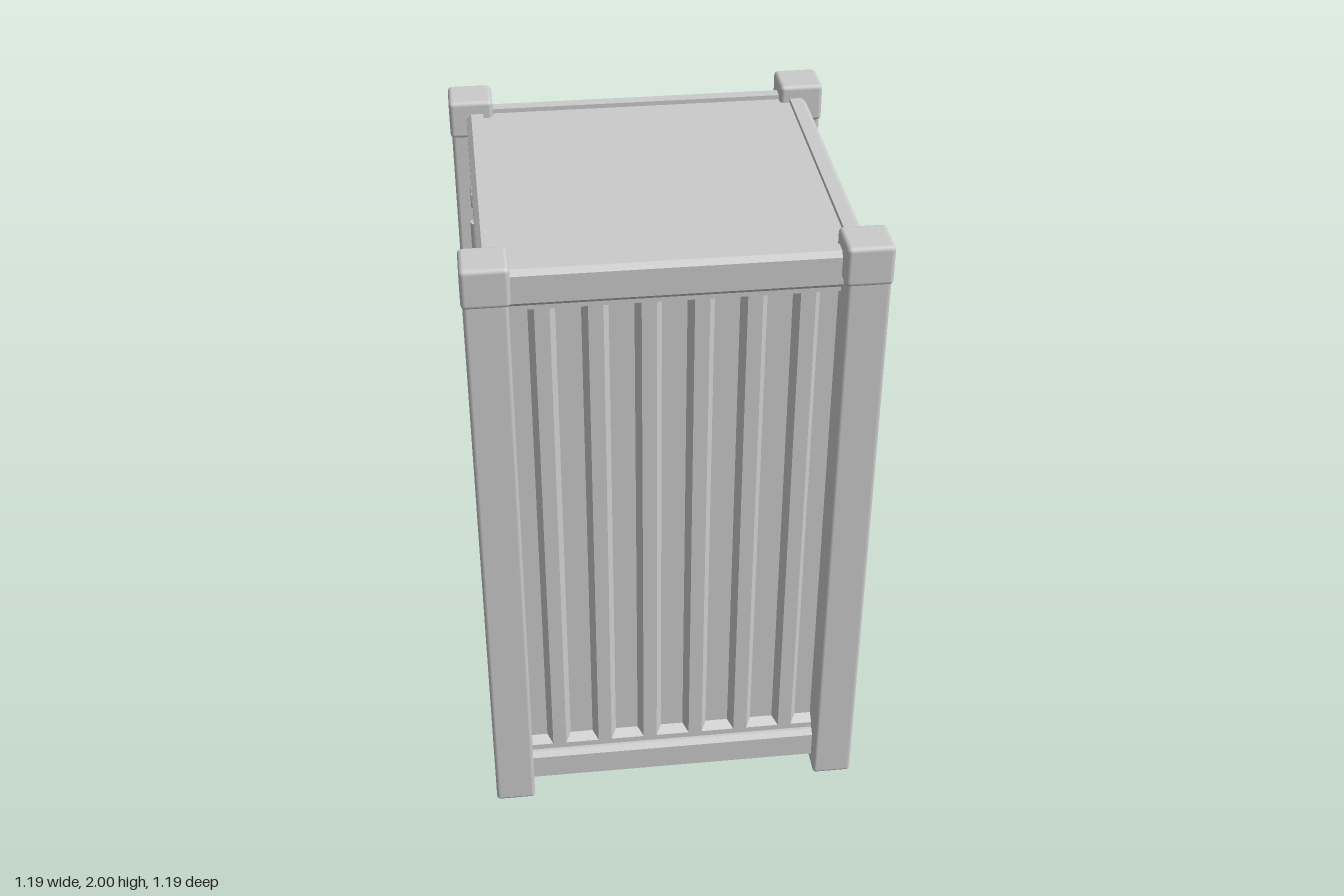
import * as THREE from 'three';
import { RoundedBoxGeometry } from 'three/addons/geometries/RoundedBoxGeometry.js';

const mat = new THREE.MeshStandardMaterial({ color: 0xcccccc, side: THREE.DoubleSide });

function add(parent, name, geo, x = 0, y = 0, z = 0) {
  const m = new THREE.Mesh(geo, mat);
  m.name = name;
  m.position.set(x, y, z);
  parent.add(m);
  return m;
}

// box given by its extents
function block(parent, name, x0, x1, y0, y1, z0, z1) {
  return add(parent, name, new THREE.BoxGeometry(x1 - x0, y1 - y0, z1 - z0),
    (x0 + x1) / 2, (y0 + y1) / 2, (z0 + z1) / 2);
}

// rectangle path (counter-clockwise), inset by s
const rect = ([x0, x1, y0, y1], s = 0) =>
  [[x0 + s, y0 + s], [x1 - s, y0 + s], [x1 - s, y1 - s], [x0 + s, y1 - s]];
const toPath = (pts) => pts.map(([x, y]) => new THREE.Vector2(x, y));

// pressed hollow: four sloping walls and a floor, facing +z
function hollow(r, slope, depth) {
  const a = rect(r).map(([x, y]) => [x, y, 0]);
  const b = rect(r, slope).map(([x, y]) => [x, y, -depth]);
  const pos = [];
  const quad = (p, q, s, t) => pos.push(...p, ...q, ...s, ...p, ...s, ...t);
  for (let i = 0; i < 4; i++) {
    const j = (i + 1) % 4;
    quad(a[i], a[j], b[j], b[i]);
  }
  quad(...b);
  const g = new THREE.BufferGeometry();
  g.setAttribute('position', new THREE.Float32BufferAttribute(pos, 3));
  g.computeVertexNormals();
  return g;
}

// flat sheet with pressed hollows
function pressedPanel(parent, name, outline, hollows, slope, depth, z) {
  const shape = new THREE.Shape(toPath(rect(outline)));
  for (const h of hollows) {
    shape.holes.push(new THREE.Path(toPath(rect(h).reverse())));
    add(parent, name + 'Groove', hollow(h, slope, depth), 0, 0, z);
  }
  add(parent, name, new THREE.ShapeGeometry(shape), 0, 0, z);
}

// chamfered horizontal beam along x, outer face at z = 0.54
function rail(parent, name, y0, y1) {
  const c = 0.015;
  const profile = [[-0.54, y0 + c], [-0.525, y0], [-0.487, y0], [-0.487, y1], [-0.525, y1], [-0.54, y1 - c]];
  const g = new THREE.ExtrudeGeometry(new THREE.Shape(toPath(profile)), { depth: 0.96, bevelEnabled: false });
  g.translate(0, 0, -0.48);
  g.rotateY(Math.PI / 2);
  add(parent, name, g);
}

function rails(side) {
  rail(side, 'topRail', 1.845, 1.96);
  rail(side, 'bottomRail', 0.03, 0.145);
}

function corrugatedSide() {
  const side = new THREE.Group();
  side.name = 'corrugatedSide';
  rails(side);
  const grooves = [];
  for (let i = -3; i <= 3; i++) grooves.push([i * 0.149 - 0.053, i * 0.149 + 0.053, 0.165, 1.825]);
  pressedPanel(side, 'corrugatedPanel', [-0.505, 0.505, 0.08, 1.9], grooves, 0.017, 0.03, 0.515);
  return side;
}

function doorLeaf(s) {
  const leaf = new THREE.Group();
  leaf.name = s > 0 ? 'leftDoor' : 'rightDoor';
  const span = (a, b) => (s > 0 ? [a, b] : [-b, -a]);

  // door sheet with four pressed bars, stile and jamb
  const bars = [0.482, 0.814, 1.147, 1.512].map((y) => [...span(0.026, 0.355), y - 0.033, y + 0.033]);
  pressedPanel(leaf, 'doorPanel', [...span(0, 0.42), 0.1, 1.9], bars, 0.01, 0.02, 0.505);
  block(leaf, 'doorStile', ...span(0.36, 0.405), 0.14, 1.85, 0.48, 0.51);
  block(leaf, 'doorJamb', ...span(0.42, 0.49), 0.1, 1.88, 0.47, 0.525);

  // locking rod with sleeves and their mounting plates
  const rodX = s * 0.145;
  add(leaf, 'lockingRod', new THREE.CylinderGeometry(0.012, 0.012, 1.72, 10), rodX, 0.995, 0.528);
  for (const y of [0.297, 1.7]) {
    add(leaf, 'rodSleeve', new THREE.CylinderGeometry(0.022, 0.022, 0.1, 10), rodX, y, 0.528);
    add(leaf, 'rodBracket', new RoundedBoxGeometry(0.074, 0.078, 0.03, 2, 0.006), rodX, y, 0.513);
  }

  // tapered handles running from the rod to the door sheet
  for (const y of [0.657, 1.337]) {
    const g = new THREE.CylinderGeometry(0.005, 0.017, 0.16, 8);
    g.scale(1, 1, 0.5);
    const h = add(leaf, 'handle', g, s * 0.222, y, 0.513);
    h.rotation.set(0, s * 0.12, -s * Math.PI / 2);
  }

  // tapered hinges on the jamb
  const outline = [[0.418, -0.033], [0.418, 0.033], [0.4, 0.033], [0.379, 0.018], [0.379, -0.018], [0.4, -0.033]];
  const hinge = new THREE.Shape(toPath(outline.map(([x, y]) => [s * x, y])));
  const hingeGeo = new THREE.ExtrudeGeometry(hinge,
    { depth: 0.03, bevelThickness: 0.01, bevelSize: 0.006, bevelSegments: 2 });
  for (const y of [0.302, 0.652, 0.98, 1.335, 1.7]) add(leaf, 'hinge', hingeGeo, 0, y, 0.504);
  return leaf;
}

function doorSide() {
  const side = new THREE.Group();
  side.name = 'doorSide';
  rails(side);
  side.add(doorLeaf(1), doorLeaf(-1));
  block(side, 'doorSeal', -0.022, 0.022, 0.14, 1.85, 0.48, 0.511);
  return side;
}

export function createModel() {
  const model = new THREE.Group();
  model.name = 'container';

  // four walls: two corrugated, two with doors
  for (let i = 0; i < 4; i++) {
    const side = i % 2 ? doorSide() : corrugatedSide();
    side.rotation.y = i * Math.PI / 2;
    model.add(side);
  }

  // corner posts with rounded caps
  for (const x of [-1, 1]) for (const z of [-1, 1]) {
    add(model, 'cornerPost', new RoundedBoxGeometry(0.125, 1.92, 0.125, 2, 0.012), x * 0.526, 0.96, z * 0.526);
    add(model, 'cornerCap', new RoundedBoxGeometry(0.136, 0.122, 0.136, 3, 0.014), x * 0.525, 1.939, z * 0.525);
  }

  // roof and floor, set slightly inside the rails
  block(model, 'roof', -0.488, 0.488, 1.91, 1.946, -0.488, 0.488);
  block(model, 'floor', -0.488, 0.488, 0.045, 0.08, -0.488, 0.488);
  return model;
}
